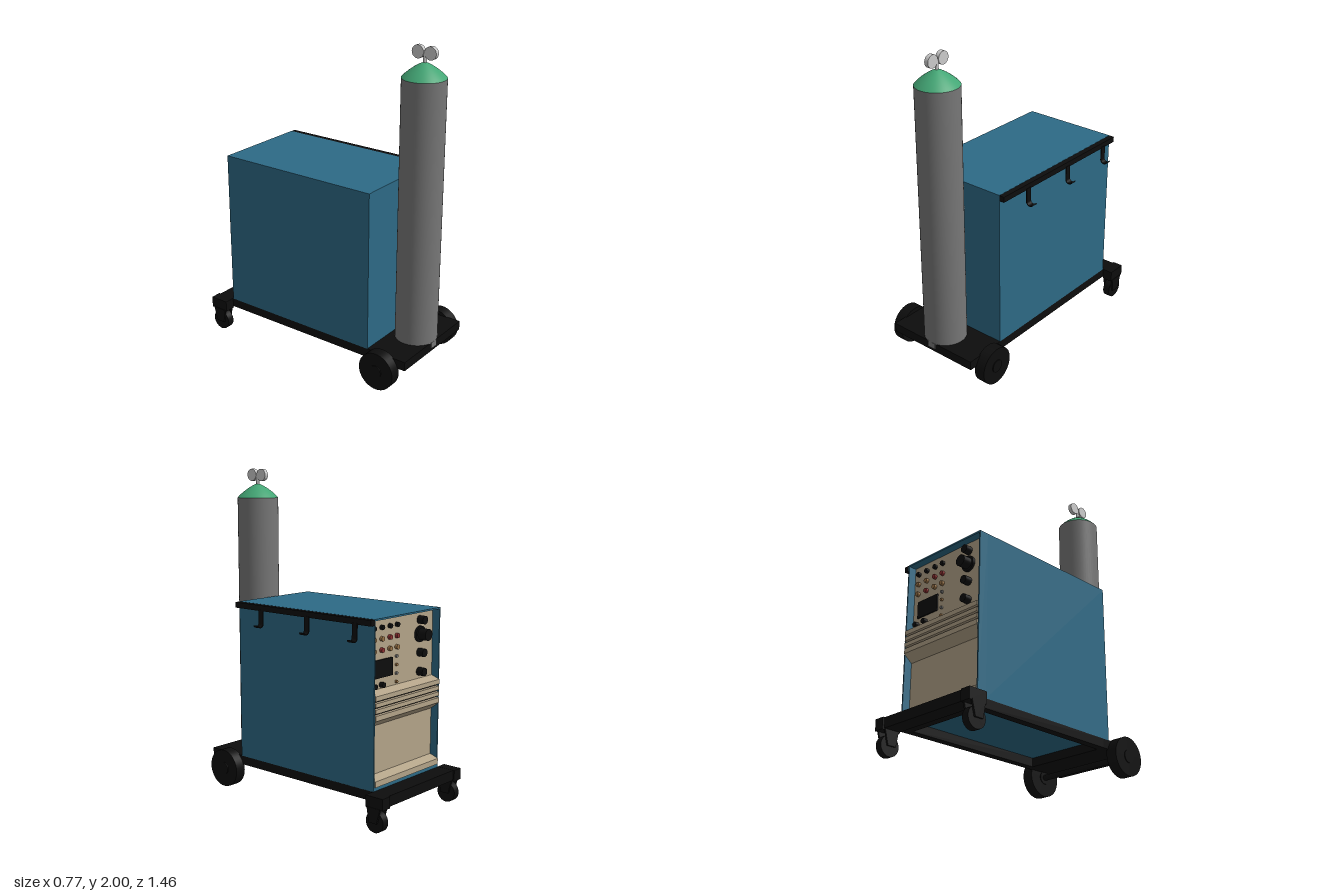
import * as THREE from 'three';

const mat = (color, side = THREE.FrontSide) => new THREE.MeshStandardMaterial({ color, side });
const blue = mat(0x2d6a86), black = mat(0x0d0d0d), tan = mat(0xb5a58a), steel = mat(0x777777);
const green = mat(0x43a675), silver = mat(0xcccccc), red = mat(0x8c3030), amber = mat(0x9a7448);
const CX = -0.005; // centre line of cabinet and bottle

export function createModel() {
  const root = new THREE.Group();

  const add = (name, geo, material, x = 0, y = 0, z = 0, parent = root) => {
    const m = new THREE.Mesh(geo, material);
    m.name = name;
    m.position.set(x, y, z);
    parent.add(m);
    return m;
  };
  // Box given by its minimum and maximum corners
  const box = (name, material, x0, x1, y0, y1, z0, z1, parent = root) =>
    add(name, new THREE.BoxGeometry(x1 - x0, y1 - y0, z1 - z0), material,
      (x0 + x1) / 2, (y0 + y1) / 2, (z0 + z1) / 2, parent);
  // Cylinder along x (wheels, gauges) or along z (knobs)
  const discX = (name, material, r, w, x, y, z, parent = root) =>
    add(name, new THREE.CylinderGeometry(r, r, w, 40).rotateZ(Math.PI / 2), material, x, y, z, parent);
  const discZ = (name, material, r, d, x, y, z, parent = root) =>
    add(name, new THREE.CylinderGeometry(r, r, d, 20).rotateX(Math.PI / 2), material, x, y, z, parent);
  // Side profile of [z, y] points extruded between two x positions
  const profile = (name, material, pts, x0, x1, parent = root) => {
    const shape = new THREE.Shape(pts.map(p => new THREE.Vector2(...p)));
    const geo = new THREE.ExtrudeGeometry(shape, { depth: x1 - x0, bevelEnabled: false, curveSegments: 8 });
    return add(name, geo.rotateY(-Math.PI / 2), material, x1, 0, 0, parent);
  };

  // Cabinet with a recess at the back for the control panel
  const cabinet = new THREE.Group();
  cabinet.name = 'cabinet';
  root.add(cabinet);
  box('cabinetBody', blue, -0.315, 0.305, 0.21, 1.197, -0.55, 0.46, cabinet);
  box('topLip', blue, -0.315, 0.305, 1.187, 1.197, -0.61, -0.55, cabinet);
  box('bottomLip', blue, -0.315, 0.305, 0.21, 0.235, -0.61, -0.55, cabinet);
  box('rightLip', blue, -0.315, -0.307, 0.235, 1.187, -0.61, -0.55, cabinet);
  box('leftLip', blue, 0.297, 0.305, 0.235, 1.187, -0.61, -0.55, cabinet);

  // Control panel: flat top, slatted vent band, sloped underside, bottom ledge
  const panel = new THREE.Group();
  panel.name = 'controlPanel';
  root.add(panel);
  const F = -0.56, P = -0.618;
  const pts = [[-0.545, 0.235], [P, 0.235], [P, 0.27], [F, 0.29], [F, 0.575], [P, 0.62]];
  for (let i = 0; i < 3; i++) {
    const y = 0.65 + i * 0.036;
    pts.push([P, y], [P + 0.03, y], [P + 0.03, y + 0.012], [P, y + 0.012]);
  }
  pts.push([P, 0.762], [F, 0.782], [F, 1.187], [-0.545, 1.187]);
  profile('panelFace', tan, pts, -0.307, 0.297, panel);
  for (let i = 0; i < 3; i++) {
    const y = 0.65 + i * 0.036;
    box('ventSlot', black, -0.305, 0.295, y, y + 0.012, P + 0.022, P + 0.032, panel);
  }

  // Rows of indicator buttons
  const cols = [0.258, 0.185, 0.112, 0.046];
  const rowColors = [[black, black, black, black], [amber, amber, red, red], [amber, red, amber, amber]];
  rowColors.forEach((row, j) => row.forEach((m, i) =>
    discZ('button', m, 0.014, 0.02, cols[i], 1.134 - j * 0.065, F - 0.008, panel)));
  for (let i = 0; i < 4; i++) discZ('indicator', i % 2 ? amber : steel, 0.009, 0.014, cols[3], 0.95 - i * 0.05, F - 0.005, panel);
  box('display', black, 0.083, 0.255, 0.845, 0.95, F - 0.008, F + 0.002, panel);
  for (const x of [0.258, 0.185]) discZ('smallKnob', black, 0.016, 0.03, x, 0.805, F - 0.012, panel);

  // Rotary knobs
  for (const y of [1.135, 0.94, 0.825]) discZ('knob', black, 0.025, 0.045, -0.175, y, F - 0.022, panel);
  discZ('largeKnob', black, 0.035, 0.07, -0.175, 1.05, F - 0.035, panel);
  discZ('largeKnobSkirt', black, 0.048, 0.015, -0.175, 1.05, F - 0.007, panel);

  // Rail with J-shaped cable hooks
  box('hookRail', black, 0.305, 0.339, 1.162, 1.196, -0.61, 0.46);
  const hook = new THREE.Shape();
  hook.moveTo(0.335, 1.17);
  hook.lineTo(0.335, 1.088);
  hook.absarc(0.361, 1.088, 0.026, Math.PI, Math.PI * 1.85, false);
  hook.absarc(0.361, 1.088, 0.020, Math.PI * 1.85, Math.PI, true);
  hook.lineTo(0.341, 1.17);
  for (const z of [0.24, -0.133, -0.495]) {
    const geo = new THREE.ExtrudeGeometry(hook, { depth: 0.038, bevelEnabled: false, curveSegments: 16 });
    add('cableHook', geo, black, 0, 0, z - 0.019);
  }

  // Trolley: open frame, bottle platform and rear crossbar
  const trolley = new THREE.Group();
  trolley.name = 'trolley';
  root.add(trolley);
  box('bottlePlatform', black, -0.315, 0.305, 0.155, 0.212, 0.41, 0.725, trolley);
  box('rightSideRail', black, -0.315, -0.265, 0.155, 0.212, -0.62, 0.41, trolley);
  box('leftSideRail', black, 0.255, 0.305, 0.155, 0.212, -0.62, 0.41, trolley);
  box('innerCrossRail', black, -0.265, 0.255, 0.155, 0.212, -0.62, -0.56, trolley);
  box('rearCrossbar', black, -0.385, 0.375, 0.15, 0.213, -0.722, -0.615, trolley);

  // Large fixed wheels at the front, casters at the back
  for (const s of [-1, 1]) {
    discX('frontWheel', black, 0.118, 0.07, CX + s * 0.337, 0.122, 0.562, trolley);
    discX('wheelHub', black, 0.04, 0.08, CX + s * 0.337, 0.122, 0.562, trolley);
    const x = CX + s * 0.347;
    discX('casterWheel', black, 0.062, 0.045, x, 0.063, -0.667, trolley);
    box('casterMount', black, x - 0.033, x + 0.033, 0.145, 0.214, -0.732, -0.61, trolley);
    for (const t of [-1, 1]) {
      profile('casterFork', black, [[-0.715, 0.15], [-0.62, 0.15], [-0.635, 0.06], [-0.69, 0.06]],
        x + t * 0.03 - 0.006, x + t * 0.03 + 0.006, trolley);
    }
  }
  discX('frontAxle', black, 0.018, 0.64, CX, 0.122, 0.562, trolley);

  // Gas bottle with tapered shoulder
  const bottle = new THREE.Group();
  bottle.name = 'gasBottle';
  bottle.position.set(CX, 0, 0.602);
  root.add(bottle);
  add('bottleBody', new THREE.CylinderGeometry(0.129, 0.129, 1.61, 48), steel, 0, 1.015, 0, bottle);
  const shoulder = [[0.129, 1.82], [0.115, 1.835], [0.09, 1.857], [0.06, 1.879], [0.03, 1.897], [0.012, 1.905], [0, 1.907]];
  add('bottleShoulder', new THREE.LatheGeometry(shoulder.map(p => new THREE.Vector2(...p)), 48), green, 0, 0, 0, bottle);
  box('bottleTab', steel, -0.028, 0.028, 0.175, 0.215, 0.09, 0.129, bottle);

  // Valve and twin pressure gauges
  add('valveStem', new THREE.CylinderGeometry(0.01, 0.01, 0.07, 16), silver, 0, 1.93, 0, bottle);
  for (const s of [-1, 1]) discX('pressureGauge', silver, 0.038, 0.026, 0, 1.962, s * 0.041, bottle);
  box('gaugeLink', silver, -0.008, 0.008, 1.952, 1.972, -0.02, 0.02, bottle);

  return root;
}
